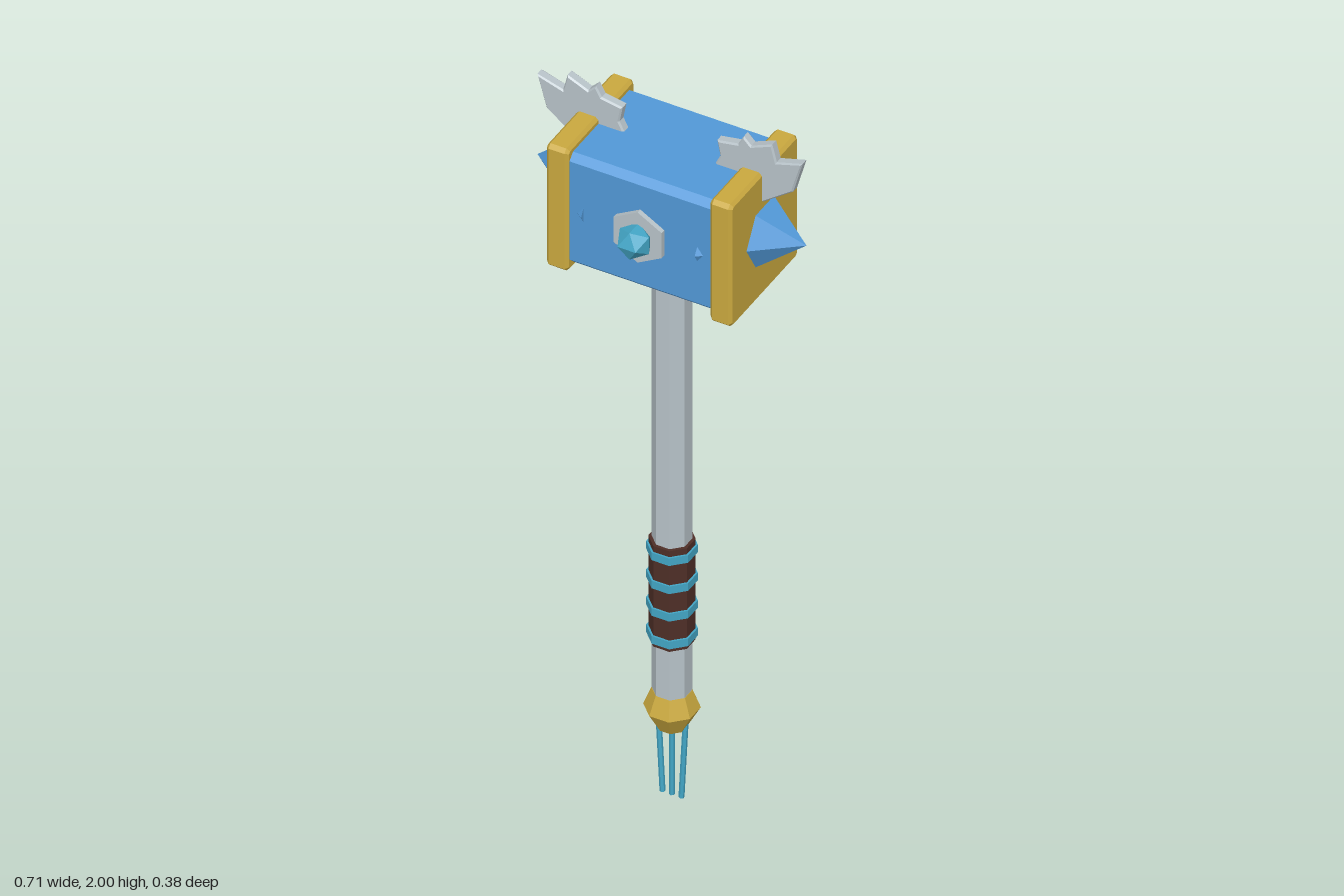
import * as THREE from 'three';

const AXIS_Z = -0.028; // depth of the hammer's own axis
const HEAD_Y = 1.73;

const material = (name, color) => {
  const m = new THREE.MeshStandardMaterial({ color, flatShading: true });
  m.name = name;
  return m;
};

// Block with chamfered edges, extruded along x
function chamferedBlock(width, height, depth, edge, endBevel) {
  const w = depth / 2 - endBevel, h = height / 2 - endBevel, c = edge;
  const shape = new THREE.Shape([
    [-w + c, -h], [w - c, -h], [w, -h + c], [w, h - c],
    [w - c, h], [-w + c, h], [-w, h - c], [-w, -h + c],
  ].map(([x, y]) => new THREE.Vector2(x, y)));
  const geometry = new THREE.ExtrudeGeometry(shape, {
    depth: width - 2 * endBevel, bevelEnabled: endBevel > 0,
    bevelSize: endBevel, bevelThickness: endBevel, bevelSegments: 1,
  });
  geometry.translate(0, 0, -width / 2 + endBevel);
  return geometry.rotateY(Math.PI / 2);
}

// Eight-sided upright rod with a flat side to the front
function rod(radius, bottom, top) {
  const geometry = new THREE.CylinderGeometry(radius, radius, top - bottom, 8);
  return geometry.rotateY(Math.PI / 8).translate(0, (top + bottom) / 2, 0);
}

export function createModel() {
  const steel = material('steel', 0xb8c3c9);
  const blue = material('blue metal', 0x5299d8);
  const gold = material('gold', 0xcaa93f);
  const leather = material('brown leather', 0x4f2f27);
  const cyan = material('cyan', 0x43a6c6);

  const model = new THREE.Group();
  model.name = 'warHammer';
  const body = new THREE.Group();
  body.name = 'hammer';
  body.position.z = AXIS_Z;
  model.add(body);

  const add = (name, geometry, mat) => {
    const mesh = new THREE.Mesh(geometry, mat);
    mesh.name = name;
    body.add(mesh);
    return mesh;
  };

  // Shaft and wrapped grip
  add('shaft', rod(0.047, 0.27, 1.6), steel);
  add('grip', rod(0.055, 0.455, 0.748), leather);
  for (const y of [0.477, 0.558, 0.638, 0.72]) {
    add('gripBand', rod(0.06, y - 0.011, y + 0.011), cyan);
  }

  // Pommel
  const pommel = new THREE.LatheGeometry([
    [0, 0.2], [0.035, 0.2], [0.067, 0.258], [0.048, 0.307], [0, 0.307],
  ].map(([r, y]) => new THREE.Vector2(r, y)), 8);
  add('pommel', pommel.rotateY(Math.PI / 8), gold);

  // Tassel strands, drawing together toward the floor
  for (const side of [-1, 0, 1]) {
    const path = new THREE.LineCurve3(
      new THREE.Vector3(side * 0.036, 0.225, 0),
      new THREE.Vector3(side * 0.025, 0.0, 0),
    );
    add('tasselStrand', new THREE.TubeGeometry(path, 1, 0.007, 6), cyan);
  }

  // Head block
  const head = add('head', chamferedBlock(0.4, 0.32, 0.3, 0.017, 0), blue);
  head.position.y = HEAD_Y;

  // Wing outline
  const wingShape = new THREE.Shape([
    [0.35, 1.972], [0.282, 1.952], [0.27, 1.999], [0.215, 1.975],
    [0.195, 1.995], [0.18, 1.968], [0.125, 1.958], [0.133, 1.915],
    [0.118, 1.885], [0.235, 1.815], [0.325, 1.882],
  ].map(([x, y]) => new THREE.Vector2(x, y)));

  for (const side of [1, -1]) {
    const label = side > 0 ? 'left' : 'right';

    // Gold end plate
    const plate = add(label + 'EndPlate', chamferedBlock(0.058, 0.355, 0.32, 0.005, 0.008), gold);
    plate.position.set(side * 0.216, HEAD_Y, 0);

    // Spike: a wide cone whose base corners pierce the head's front and back
    const cone = new THREE.ConeGeometry(0.162, 0.205, 6);
    cone.rotateZ(-side * Math.PI / 2);
    const spike = add(label + 'Spike', cone, blue);
    spike.position.set(side * 0.2525, HEAD_Y, 0);

    // Wing, turned about for the other side
    const wing = new THREE.ExtrudeGeometry(wingShape, {
      depth: 0.018, bevelEnabled: true, bevelSegments: 1,
      bevelSize: 0.004, bevelThickness: 0.004, bevelOffset: -0.004,
    });
    wing.translate(0, 0, -0.009);
    if (side < 0) wing.rotateY(Math.PI);
    add(label + 'Wing', wing, steel);
  }

  // Gem and its hexagonal mount on the front
  const mount = new THREE.CylinderGeometry(0.073, 0.073, 0.03, 6).rotateX(Math.PI / 2);
  add('gemMount', mount, steel).position.set(0, HEAD_Y, 0.148);
  const gem = new THREE.IcosahedronGeometry(0.045, 0).rotateX(Math.PI / 2);
  add('gem', gem, cyan).position.set(0, HEAD_Y, 0.178);

  return model;
}
